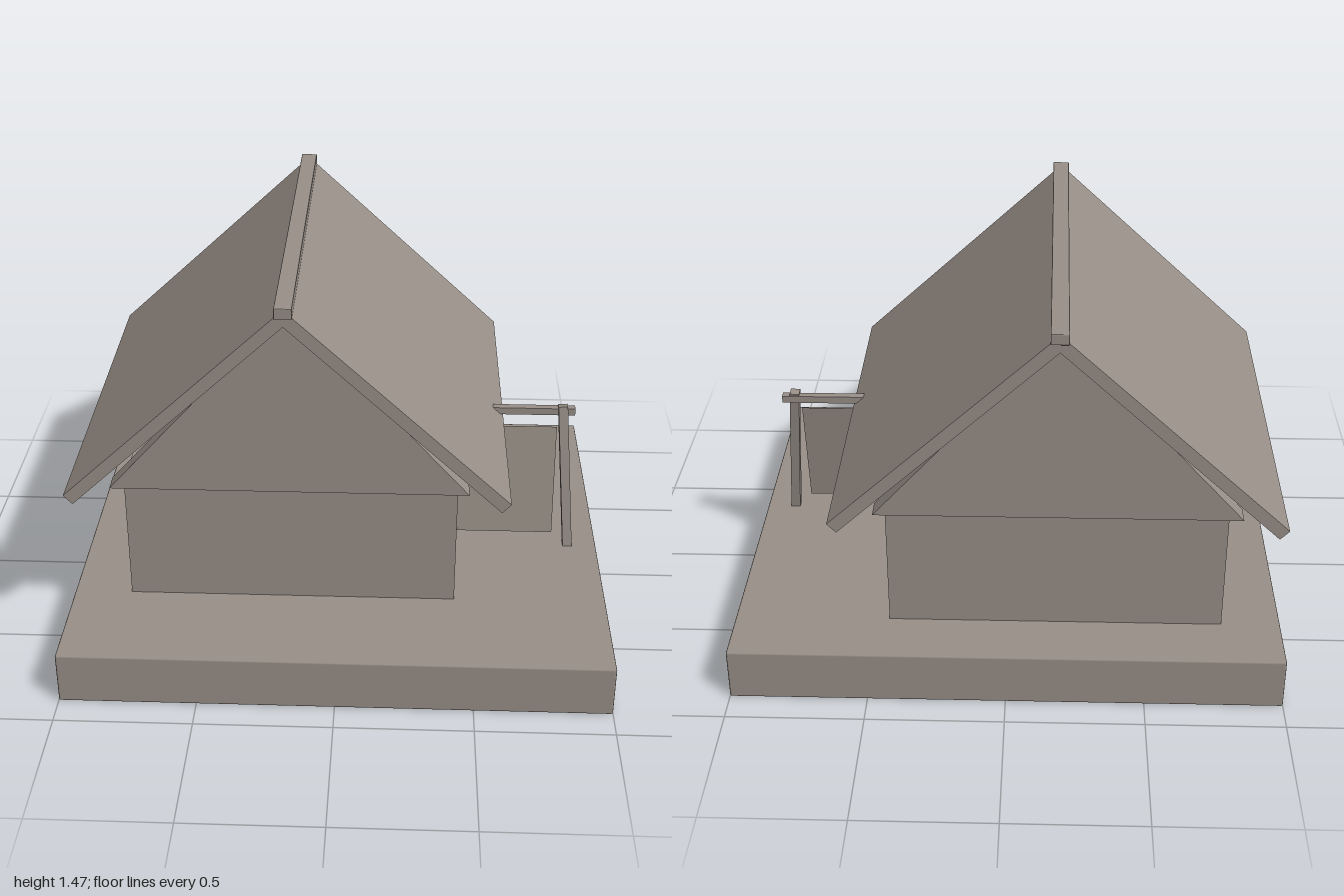
import * as THREE from 'three';
import { RoundedBoxGeometry } from 'three/addons/geometries/RoundedBoxGeometry.js';

export function createModel() {
  const model = new THREE.Group();
  model.name = 'hut';
  const stone = new THREE.MeshStandardMaterial({ color: 0x988f87 });
  stone.name = 'warm grey';
  const cloth = new THREE.MeshStandardMaterial({ color: 0x988f87, side: THREE.DoubleSide });
  cloth.name = 'warm grey cloth';
  const ridgeX = -0.178;

  const add = (name, geometry, material = stone) => {
    const mesh = new THREE.Mesh(geometry, material);
    mesh.name = name;
    model.add(mesh);
    return mesh;
  };
  // Box given by its minimum and maximum corners
  const box = (name, [x0, y0, z0], [x1, y1, z1], bevel = 0) => {
    const size = [x1 - x0, y1 - y0, z1 - z0];
    const geometry = bevel ? new RoundedBoxGeometry(...size, 1, bevel) : new THREE.BoxGeometry(...size);
    return add(name, geometry.translate((x0 + x1) / 2, (y0 + y1) / 2, (z0 + z1) / 2));
  };
  // Outline in x and y, extruded from z0 to z1
  const prism = (name, points, z0, z1) => {
    const shape = new THREE.Shape(points.map(([x, y]) => new THREE.Vector2(x, y)));
    const geometry = new THREE.ExtrudeGeometry(shape, { depth: z1 - z0, bevelEnabled: false });
    return add(name, geometry.translate(0, 0, z0));
  };

  // Plinth and walls
  box('base', [-1, 0, -0.89], [1, 0.2, 0.89], 0.008);
  box('walls', [-0.784, 0.19, -0.673], [0.432, 0.684, 0.482]);

  // Triangular gables at both ends
  const gable = [[-0.83, 0.684], [0.472, 0.684], [ridgeX, 1.41]];
  prism('frontGable', gable, 0.45, 0.527);
  prism('backGable', gable, -0.717, -0.64);

  // Two sloping roof slabs and the ridge beam
  for (const side of [-1, 1]) {
    const slab = [[0, 1.464], [0.792, 0.728], [0.76, 0.694], [0, 1.402]];
    prism(side > 0 ? 'leftRoof' : 'rightRoof',
      slab.map(([x, y]) => [ridgeX + side * x, y]), -0.843, 0.655);
  }
  box('ridgeBeam', [-0.208, 1.434, -0.853], [-0.147, 1.473, 0.665], 0.003);

  // Leaning posts beside the wall
  const frameX = 0.637;
  for (const side of [-1, 1]) {
    const foot = new THREE.Vector3(frameX + side * 0.251, 0.185, 0.088);
    const head = new THREE.Vector3(frameX + side * 0.205, 0.775, -0.001);
    const post = add('framePost', new THREE.BoxGeometry(0.036, foot.distanceTo(head), 0.036));
    post.position.copy(foot).lerp(head, 0.5);
    post.quaternion.setFromUnitVectors(new THREE.Vector3(0, 1, 0), head.clone().sub(foot).normalize());
  }
  box('frameBeam', [0.385, 0.737, -0.022], [0.89, 0.765, 0.008]);

  // Hanging sheet, parallel to the posts
  const sheet = add('hangingSheet', new THREE.PlaneGeometry(0.373, 0.445), cloth);
  sheet.position.set(0.636, 0.472, 0.052);
  sheet.rotation.x = -0.148;

  return model;
}
